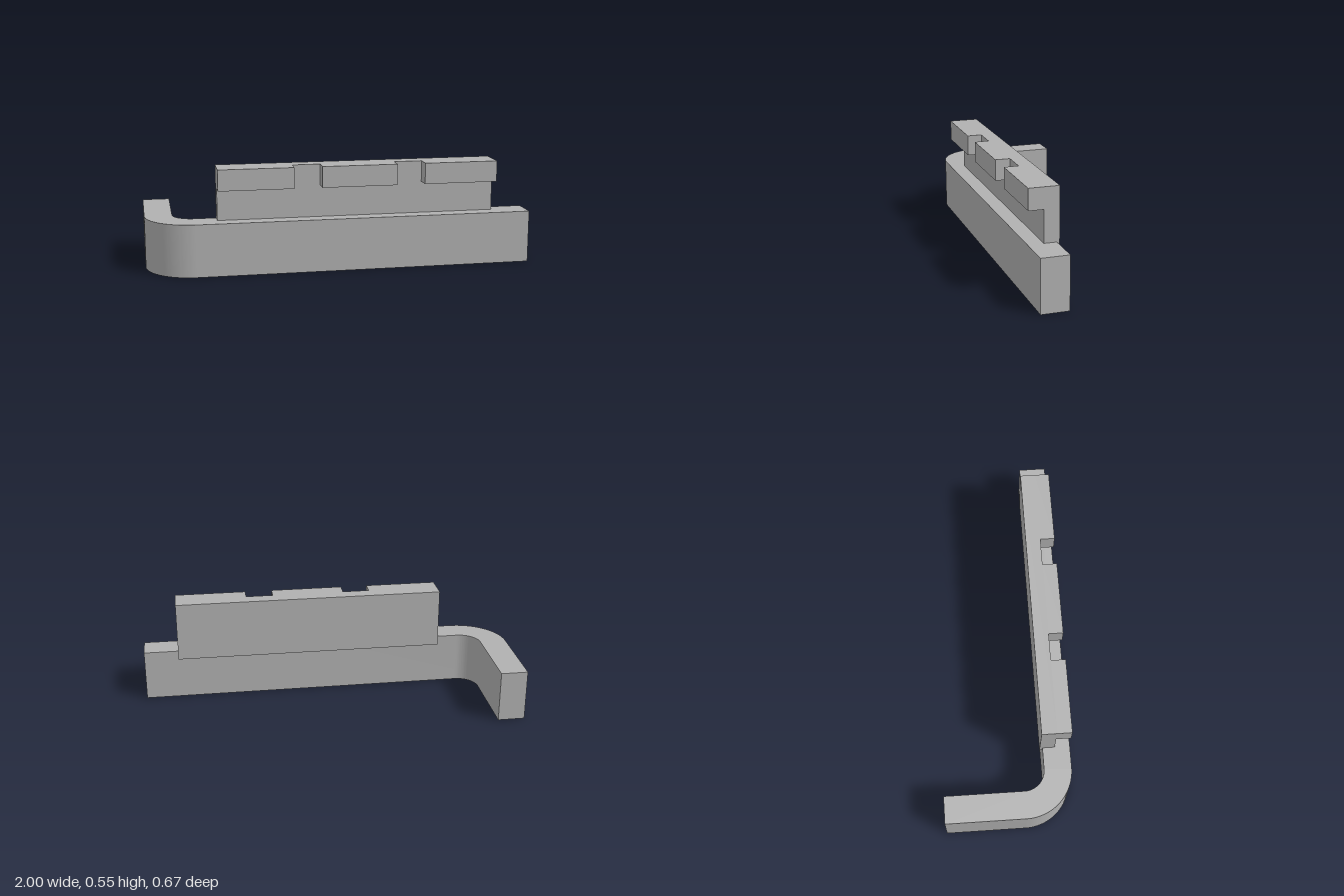
import * as THREE from 'three';
import { toCreasedNormals } from 'three/addons/utils/BufferGeometryUtils.js';

const grey = new THREE.MeshStandardMaterial({ color: 0xb0b0b0 });
grey.name = 'grey';

// Box given by its minimum and maximum corners
function block(name, [x0, y0, z0], [x1, y1, z1]) {
  const geometry = new THREE.BoxGeometry(x1 - x0, y1 - y0, z1 - z0);
  geometry.translate((x0 + x1) / 2, (y0 + y1) / 2, (z0 + z1) / 2);
  const mesh = new THREE.Mesh(geometry, grey);
  mesh.name = name;
  return mesh;
}

// L-shaped bar with a rounded corner, drawn in plan (shape y is -z)
function createBase() {
  const front = 0.335, thick = 0.143, outer = 0.252, height = 0.273;
  const inner = outer - thick;
  const cx = -1 + outer, cy = -front + outer;
  const plan = new THREE.Shape();
  plan.moveTo(1, -front);
  plan.lineTo(1, -front + thick);
  plan.lineTo(cx, -front + thick);
  plan.absarc(cx, cy, inner, -Math.PI / 2, -Math.PI, true);
  plan.lineTo(-1 + thick, front);
  plan.lineTo(-1, front);
  plan.lineTo(-1, cy);
  plan.absarc(cx, cy, outer, Math.PI, Math.PI * 1.5, false);
  plan.closePath();
  const geometry = new THREE.ExtrudeGeometry(plan, { depth: height, bevelEnabled: false, curveSegments: 24 });
  geometry.rotateX(-Math.PI / 2);
  const mesh = new THREE.Mesh(toCreasedNormals(geometry, 0.5), grey);
  mesh.name = 'baseBar';
  return mesh;
}

export function createModel() {
  const model = new THREE.Group();
  model.name = 'hookedRail';
  model.add(createBase());

  // Upright plate, slightly overhanging the back of the bar
  model.add(block('uprightPlate', [-0.636, 0.229, 0.178], [0.815, 0.547, 0.256]));

  // Three lugs along the top front edge
  [[-0.636, -0.25], [-0.106, 0.284], [0.43, 0.815]].forEach(([x0, x1], i) => {
    model.add(block(`lug${i + 1}`, [x0, 0.438, 0.256], [x1, 0.547, 0.332]));
  });
  return model;
}
